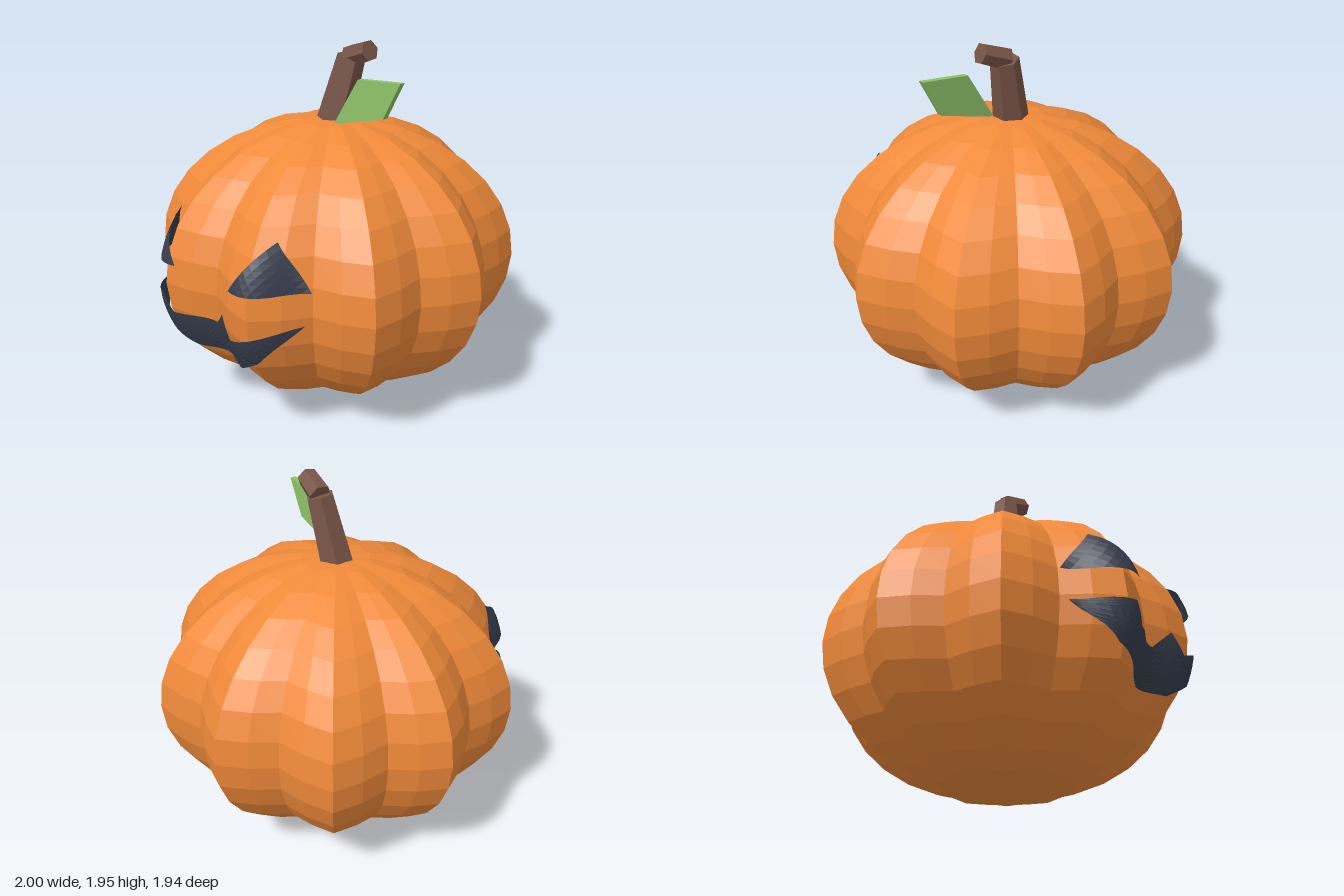
import * as THREE from 'three';

const MID_Y = 0.767, HALF_H = 0.765, MID_Z = -0.02;
const lobe = (a) => 0.935 + 0.065 * Math.cos(10 * a);

const mat = (color, extra = {}) => new THREE.MeshStandardMaterial({ color, flatShading: true, ...extra });

function add(group, name, geometry, material) {
  const mesh = new THREE.Mesh(geometry, material);
  mesh.name = name;
  group.add(mesh);
  return mesh;
}

// Sphere pinched into ten ribs
function bodyGeometry() {
  const g = new THREE.SphereGeometry(1, 40, 16);
  const p = g.attributes.position;
  for (let i = 0; i < p.count; i++) {
    const x = p.getX(i), z = p.getZ(i), r = lobe(Math.atan2(z, x));
    p.setXYZ(i, x * r, p.getY(i) * HALF_H + MID_Y, z * r + MID_Z);
  }
  g.computeVertexNormals();
  return g;
}

// Depth of the ribbed front surface at a given x, y
function frontZ(x, y) {
  const s = (y - MID_Y) / HALF_H, ring = Math.sqrt(Math.max(0, 1 - s * s));
  let z = 0.8;
  for (let i = 0; i < 25; i++) {
    const r = ring * lobe(Math.atan2(z, x));
    z = Math.sqrt(Math.max(0.01, r * r - x * x));
  }
  return z + MID_Z;
}

// Flat outline, subdivided and wrapped over the ribs
function wrappedGeometry(outline, levels) {
  const shape = new THREE.Shape(outline.map(([x, y]) => new THREE.Vector2(x, y)));
  const p = new THREE.ShapeGeometry(shape).toNonIndexed().attributes.position;
  let pts = [];
  for (let i = 0; i < p.count; i++) pts.push(new THREE.Vector2(p.getX(i), p.getY(i)));
  for (let n = 0; n < levels; n++) {
    const next = [];
    for (let i = 0; i < pts.length; i += 3) {
      const [a, b, c] = pts.slice(i, i + 3);
      const ab = a.clone().lerp(b, 0.5), bc = b.clone().lerp(c, 0.5), ca = c.clone().lerp(a, 0.5);
      next.push(a, ab, ca, ab, b, bc, ca, bc, c, ab, bc, ca);
    }
    pts = next;
  }
  const g = new THREE.BufferGeometry().setFromPoints(
    pts.map((v) => new THREE.Vector3(v.x, v.y, frontZ(v.x, v.y) + 0.033)));
  g.computeVertexNormals();
  return g;
}

// Tapered six-sided prism between two points
function prism(group, name, from, to, r0, r1, material) {
  const a = new THREE.Vector3(...from), b = new THREE.Vector3(...to);
  const dir = b.clone().sub(a);
  const mesh = add(group, name, new THREE.CylinderGeometry(r1, r0, dir.length(), 6), material);
  mesh.position.copy(a).lerp(b, 0.5);
  mesh.quaternion.setFromUnitVectors(new THREE.Vector3(0, 1, 0), dir.normalize());
}

export function createModel() {
  const group = new THREE.Group();
  group.name = 'carvedPumpkin';
  const dark = mat(0x363d4d, { side: THREE.DoubleSide });
  const brown = mat(0x795548);

  add(group, 'body', bodyGeometry(), mat(0xf08a3a));

  // Face
  for (const [s, name] of [[1, 'leftEye'], [-1, 'rightEye']]) {
    add(group, name, wrappedGeometry([[s * 0.205, 0.9], [s * 0.52, 0.9], [s * 0.36, 1.14]], 3), dark);
  }
  add(group, 'mouth', wrappedGeometry([
    [-0.5, 0.735], [-0.34, 0.53], [-0.165, 0.425], [0.165, 0.425], [0.34, 0.53], [0.5, 0.73],
    [0.21, 0.635], [0.13, 0.74], [0.02, 0.635], [-0.23, 0.635], [-0.29, 0.74],
  ], 3), dark);

  // Stem with a bent tip
  prism(group, 'stem', [-0.02, 1.44, -0.015], [0.075, 1.855, -0.07], 0.1, 0.076, brown);
  prism(group, 'stemTip', [0.065, 1.855, -0.073], [0.216, 1.907, -0.053], 0.062, 0.056, brown);

  // Leaf
  const leafShape = new THREE.Shape([[0.07, 1.515], [0.405, 1.6], [0.51, 1.797], [0.235, 1.777]]
    .map(([x, y]) => new THREE.Vector2(x, y)));
  const leaf = new THREE.ExtrudeGeometry(leafShape, { depth: 0.035, bevelEnabled: false });
  leaf.translate(0, 0, 0.026);
  add(group, 'leaf', leaf, mat(0x8fc46a));

  return group;
}
